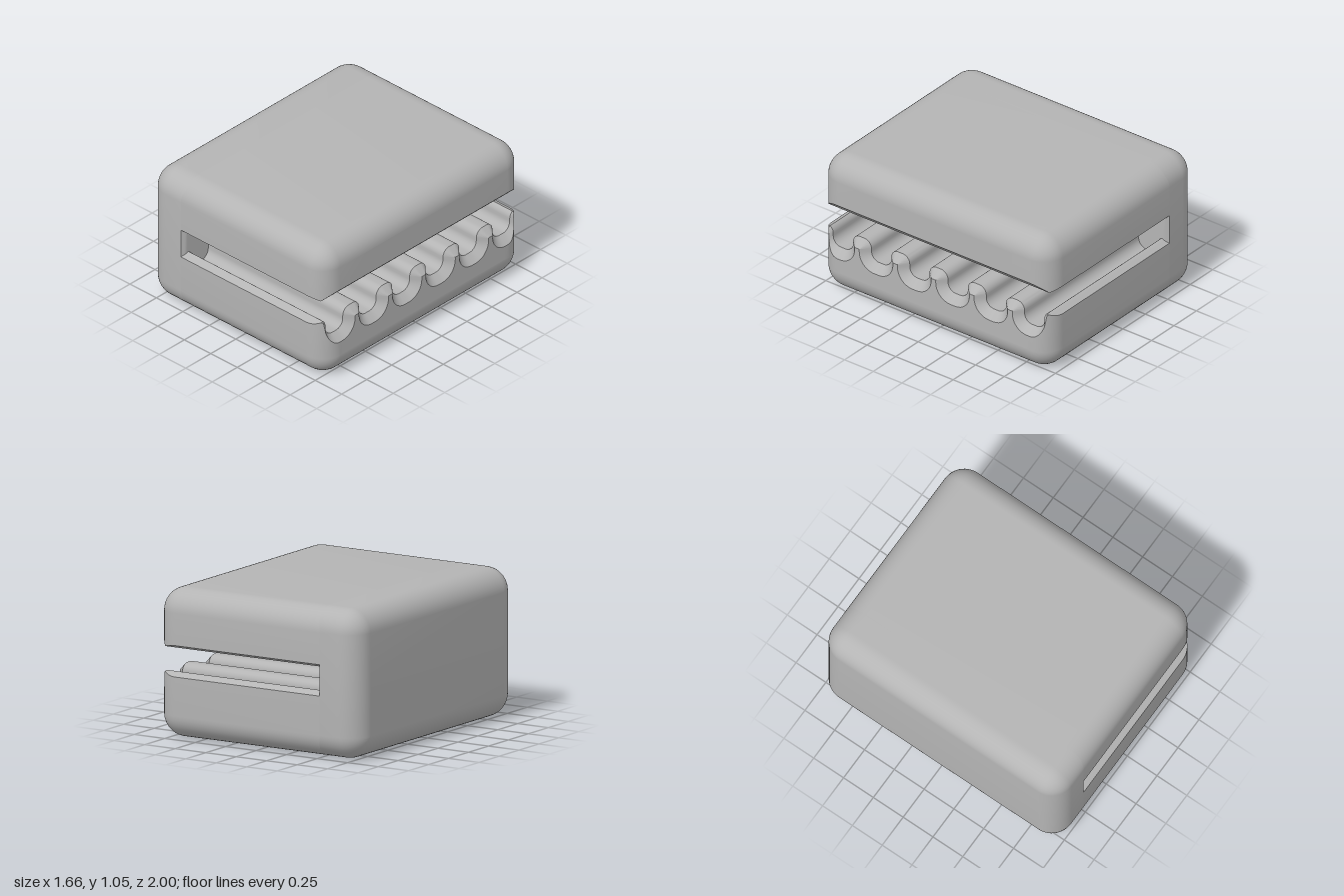
import * as THREE from 'three';
import { toCreasedNormals } from 'three/addons/utils/BufferGeometryUtils.js';

const HX = 0.83, HZ = 1, H = 1.05, R = 0.165;   // block half sizes, height, edge radius
const BACK = -0.5, MOUTH = 0.77;                // slot back wall, start of the mouth bevel

const grey = new THREE.MeshStandardMaterial({ color: 0xb4b4b4 });
grey.name = 'grey';

// Edge radius left at a given x, and the half depth there
const radiusAt = x => Math.sqrt(Math.max(0, R * R - Math.max(0, Math.abs(x) - (HX - R)) ** 2));
const halfDepth = x => HZ - R + radiusAt(x);
const bevelAt = x => Math.max(0, x - MOUTH);
// Small bevel around the slot where it meets the sides
const sideBevel = z => Math.max(0, 0.02 - 0.6 * (HZ - Math.abs(z)));

// Rounded underside and top of the block, as [z, y] points
function underside(x) {
  const r = radiusAt(x), half = [];
  for (let i = 0; i <= 10; i++) {
    const a = i / 10 * Math.PI / 2;
    half.push([-(HZ - R) - r * Math.cos(a), R - r * Math.sin(a)]);
  }
  return [...half, ...half.map(([z, y]) => [-z, y]).reverse()];
}
const topside = x => underside(x).map(([z, y]) => [z, H - y]).reverse();

// Slot ceiling
function ceilingY(z, x) { return Math.max(0.64 + bevelAt(x), 0.64 + sideBevel(z)); }
function ceiling(x) {
  const Z = halfDepth(x);
  return [-1, -0.9667, -0.5, 0, 0.5, 0.9667, 1].map(s => {
    const z = THREE.MathUtils.clamp(s, -Z, Z);
    return [z, ceilingY(z, x)];
  });
}

// Ridged floor: height by position, and half a ridge plus half a groove as points
function ridgeY(z, d) {
  const u = Math.abs(z - Math.round(z * 3) / 3);
  if (u < 0.02) return 0.48 - d;
  if (u < 0.08 - d) return 0.42 + Math.sqrt(Math.max(0, (0.06 - d) ** 2 - (u - 0.02) ** 2));
  const r = 0.067 + d;
  return 0.4 - Math.sqrt(Math.max(0, r * r - Math.max(0, 0.147 - u) ** 2));
}
function halfRidge(d) {
  const pts = [[0, 0.48 - d]], n = 8;
  for (let i = 0; i <= n; i++) {
    const a = i / n * Math.PI / 2;
    pts.push([0.02 + (0.06 - d) * Math.sin(a), 0.42 + (0.06 - d) * Math.cos(a)]);
  }
  for (let i = 0; i <= n; i++) {
    const a = i / n * Math.PI / 2;
    pts.push([0.147 - (0.067 + d) * Math.cos(a), 0.4 - (0.067 + d) * Math.sin(a)]);
  }
  pts.push([1 / 6, 0.333 - d]);
  return pts;
}
function floor(x) {
  const d = bevelAt(x), Z = halfDepth(x), half = halfRidge(d), pts = [];
  for (let h = 0; h < 6; h++) {
    const part = h % 2 ? half.map(([u, y]) => [(h + 1) / 6 - u, y]).reverse()
      : half.map(([u, y]) => [h / 6 + u, y]);
    pts.push(...part);
  }
  const side = pts.map(([z, y]) => {
    if (z > Z) { z = Z; y = ridgeY(Z, d); }
    return [z, Math.min(y, 0.44 - d + 0.6 * (HZ - z))];
  });
  return [...side.map(([z, y]) => [-z, y]).reverse(), ...side];
}

// Skin between rings of points
function loft(name, rings, closed = true) {
  const pos = [], n = rings[0].length;
  for (let i = 0; i + 1 < rings.length; i++) {
    for (let j = 0; j < (closed ? n : n - 1); j++) {
      const k = (j + 1) % n;
      const a = rings[i][j], b = rings[i][k], c = rings[i + 1][k], d = rings[i + 1][j];
      pos.push(...a, ...d, ...b, ...b, ...d, ...c);
    }
  }
  const g = new THREE.BufferGeometry();
  g.setAttribute('position', new THREE.Float32BufferAttribute(pos, 3));
  const mesh = new THREE.Mesh(toCreasedNormals(g, 0.5), grey);
  mesh.name = name;
  return mesh;
}
// A ring at x; at the slot's back it follows the side bevel
const ring = (pts, x) => pts.map(([z, y]) => [x === BACK ? x - sideBevel(z) : x, y, z]);
// Flattens a ring to a line, which closes a flat end
const flatten = (r, y) => r.map(p => [p[0], y, p[2]]);

export function createModel() {
  const group = new THREE.Group();
  group.name = 'slottedBlock';

  const curve = [];
  for (let i = 0; i <= 14; i++) curve.push(HX - R + R * Math.sin(i / 14 * Math.PI / 2));
  const jawXs = [BACK, ...curve, MOUTH].sort((a, b) => a - b);
  const spineXs = [...curve.map(x => -x).reverse(), BACK];

  // Solid spine behind the slot
  const spine = spineXs.map(x => ring([...underside(x), ...topside(x)], x));
  spine.unshift(flatten(spine[0], H / 2));
  group.add(loft('spine', spine));

  // Smooth upper jaw
  const upper = jawXs.map(x => ring([...ceiling(x), ...topside(x)], x));
  upper.push(flatten(upper[upper.length - 1], H - R));
  group.add(loft('upperJaw', upper));

  // Lower jaw with six grooves
  const lower = jawXs.map(x => ring([...underside(x), ...floor(x).reverse()], x));
  lower.push(flatten(lower[lower.length - 1], R));
  group.add(loft('lowerJaw', lower));

  // Back wall of the slot
  const foot = floor(BACK);
  const head = foot.map(([z]) => [z, ceilingY(z, BACK)]);
  group.add(loft('slotBackWall', [ring(foot, BACK), ring(head, BACK)], false));

  return group;
}
